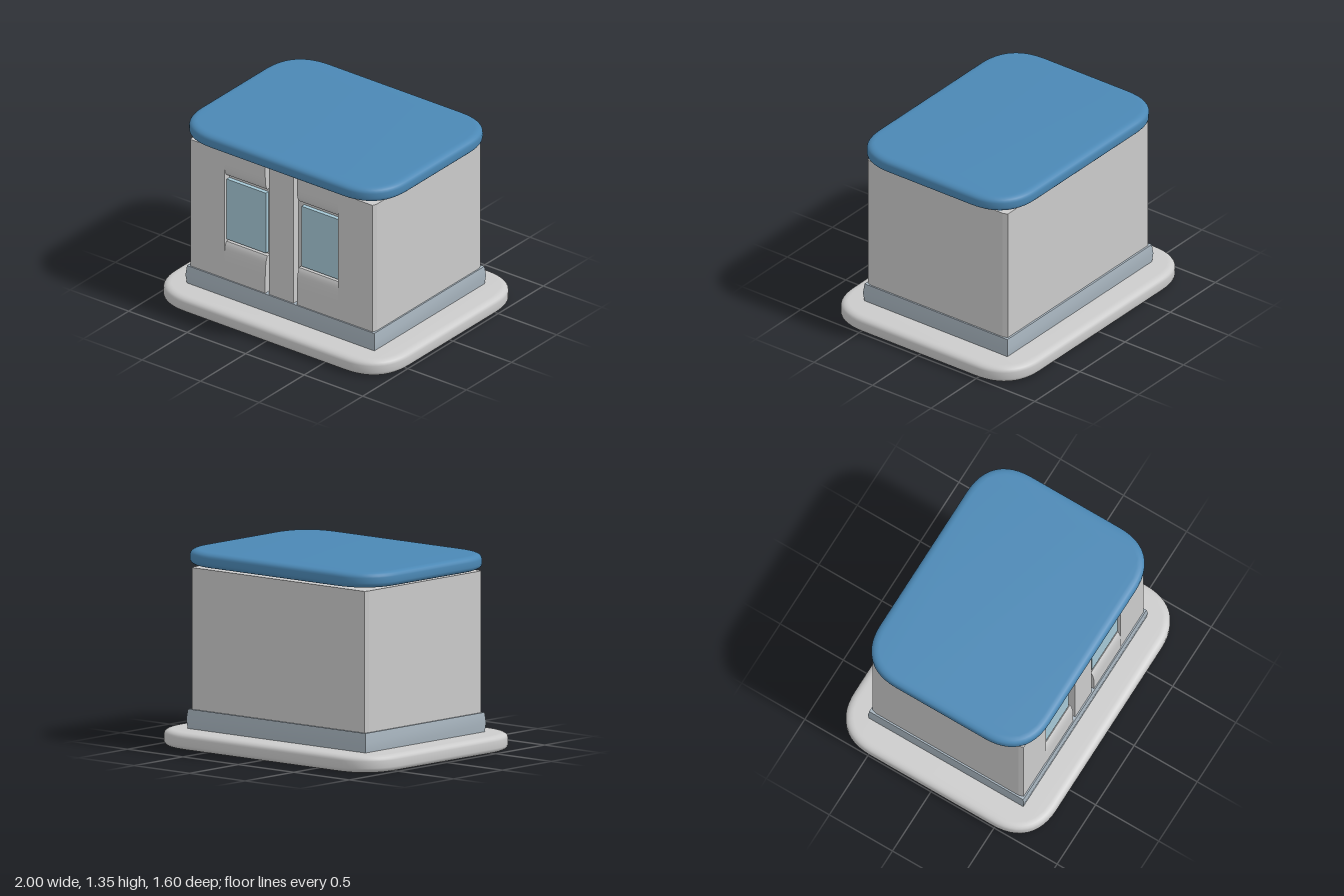
import * as THREE from 'three';
import { toCreasedNormals } from 'three/addons/utils/BufferGeometryUtils.js';

const grey = new THREE.MeshStandardMaterial({ color: 0xcccccc });
const blue = new THREE.MeshStandardMaterial({ color: 0x4b88b5 });
const paleBlue = new THREE.MeshStandardMaterial({ color: 0xa9b6c0 });
const glass = new THREE.MeshStandardMaterial({ color: 0xa6c8d6 });

function addMesh(group, name, geometry, material) {
  const mesh = new THREE.Mesh(geometry, material);
  mesh.name = name;
  group.add(mesh);
  return mesh;
}

// Soft-cornered slab with a rounded rim, from y0 to y1
function slab(halfX, halfZ, y0, y1) {
  const rim = 0.05, lip = 0.035, r = 0.27;
  const x = halfX - rim, z = halfZ - rim;
  const s = new THREE.Shape();
  s.moveTo(-x + r, -z).lineTo(x - r, -z);
  s.quadraticCurveTo(x, -z, x, -z + r).lineTo(x, z - r);
  s.quadraticCurveTo(x, z, x - r, z).lineTo(-x + r, z);
  s.quadraticCurveTo(-x, z, -x, z - r).lineTo(-x, -z + r);
  s.quadraticCurveTo(-x, -z, -x + r, -z);
  const g = new THREE.ExtrudeGeometry(s, {
    depth: y1 - y0 - 2 * lip, bevelSize: rim, bevelThickness: lip, bevelSegments: 5, curveSegments: 12,
  });
  g.rotateX(-Math.PI / 2).translate(0, y0 + lip, 0);
  return toCreasedNormals(g, 0.9);
}

// Floor plan with chamfered corners and two window recesses in the front
function bodyGeometry() {
  const front = 0.6, recess = 0.545;
  const plan = [
    [-0.78, front], [-0.49, front], [-0.49, recess], [-0.11, recess], [-0.11, front],
    [0.1, front], [0.1, recess], [0.48, recess], [0.48, front], [0.775, front],
    [0.787, 0.565], [0.787, -0.56], [0.775, -0.596], [-0.78, -0.596], [-0.79, -0.56], [-0.79, 0.565],
  ];
  const s = new THREE.Shape(plan.map(([x, z]) => new THREE.Vector2(x, -z)));
  const g = new THREE.ExtrudeGeometry(s, { depth: 0.97, bevelEnabled: false });
  return g.rotateX(-Math.PI / 2).translate(0, 0.25, 0);
}

// Plinth whose sides swell slightly at mid height
function plinthGeometry() {
  const g = new THREE.BoxGeometry(1.6, 0.14, 1.22, 1, 2, 1);
  const p = g.attributes.position;
  for (let i = 0; i < p.count; i++) {
    if (Math.abs(p.getY(i)) < 0.01) p.setXYZ(i, p.getX(i) * 1.01, 0, p.getZ(i) * 1.012);
  }
  g.computeVertexNormals();
  return g.translate(-0.002, 0.18, 0);
}

// Infill panel, its front curving back towards the window edge
function panelGeometry(width, yWall, yWindow) {
  const back = 0.53, front = 0.602;
  const s = new THREE.Shape();
  s.moveTo(back, yWall).lineTo(front, yWall);
  s.lineTo(front, yWall + (yWindow - yWall) * 0.45);
  s.quadraticCurveTo(front, yWindow + (yWall - yWindow) * 0.12, front - 0.025, yWindow);
  s.lineTo(back, yWindow);
  const g = new THREE.ExtrudeGeometry(s, { depth: width, bevelEnabled: false, curveSegments: 8 });
  // Profile runs in z and y, extruded along x
  g.rotateY(-Math.PI / 2).translate(width / 2, 0, 0);
  return toCreasedNormals(g, 0.6);
}

export function createModel() {
  const model = new THREE.Group();
  model.name = 'kiosk';

  addMesh(model, 'baseSlab', slab(1, 0.8, 0, 0.117), grey);
  addMesh(model, 'plinth', plinthGeometry(), paleBlue);
  addMesh(model, 'walls', bodyGeometry(), grey);
  addMesh(model, 'roof', slab(0.88, 0.67, 1.24, 1.345), blue);

  // Two window bays, each with a pane between an upper and a lower panel
  const bays = [
    { name: 'rightWindow', x0: -0.49, x1: -0.14, g0: -0.49, g1: -0.155 },
    { name: 'leftWindow', x0: 0.13, x1: 0.48, g0: 0.15, g1: 0.48 },
  ];
  for (const { name, x0, x1, g0, g1 } of bays) {
    const bay = new THREE.Group();
    bay.name = name;
    const mid = (x0 + x1) / 2, width = x1 - x0;
    addMesh(bay, 'lintel', panelGeometry(width, 1.22, 1.035), grey).position.x = mid;
    addMesh(bay, 'sillPanel', panelGeometry(width, 0.25, 0.525), grey).position.x = mid;
    const pane = addMesh(bay, 'pane', new THREE.BoxGeometry(g1 - g0, 0.46, 0.03), glass);
    pane.position.set((g0 + g1) / 2, 0.77, 0.56);
    model.add(bay);
  }
  return model;
}
